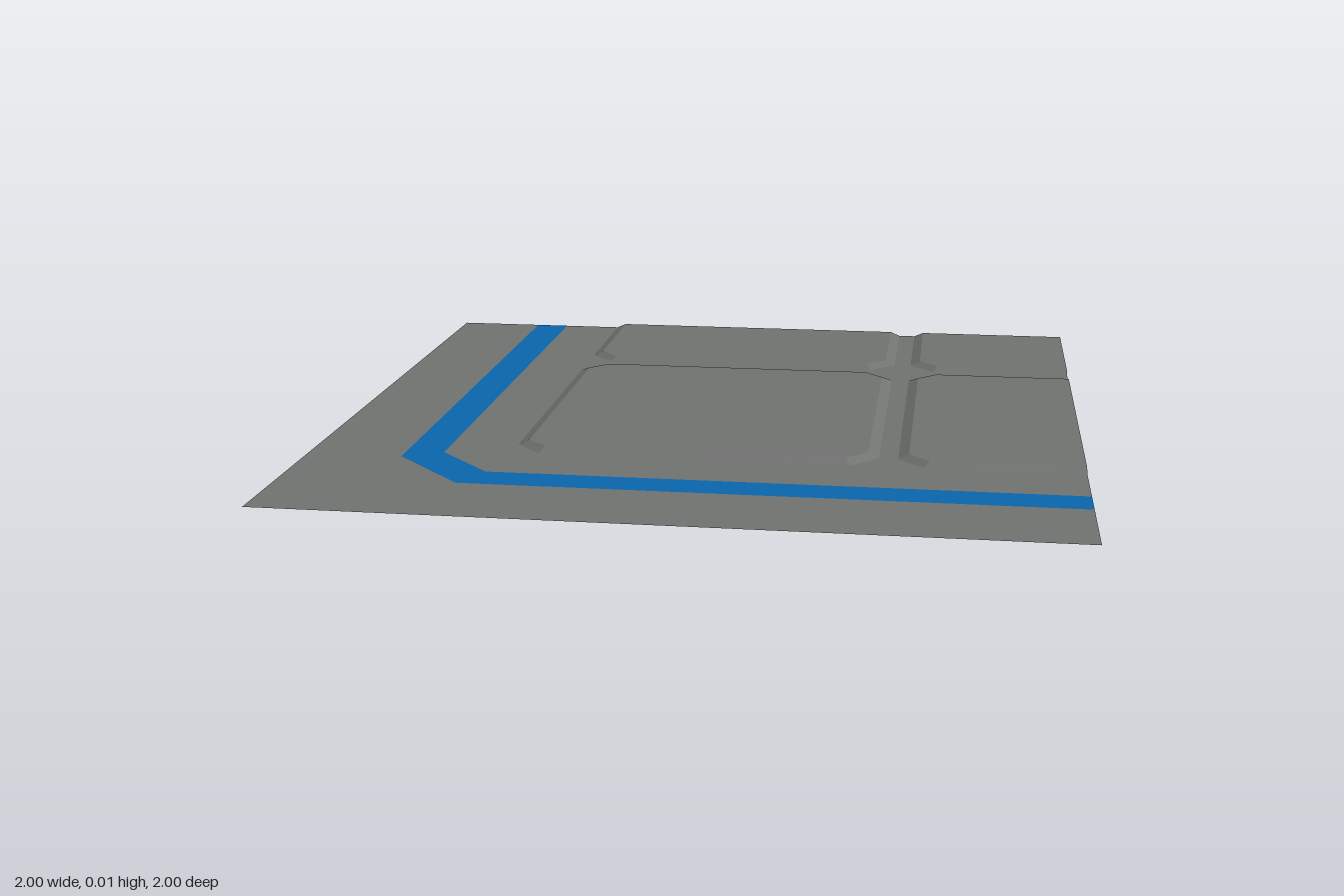
import * as THREE from 'three';

const HALF = 0.475, CUT = 0.07, BEVEL = 0.028, HEIGHT = 0.012;

// Horizontal plate from [x, z] points, facing up
function plate(points, y = 0, holes = []) {
  const toVectors = list => list.map(([x, z]) => new THREE.Vector2(x, -z));
  const shape = new THREE.Shape(toVectors(points));
  for (const hole of holes) shape.holes.push(new THREE.Path(toVectors(hole)));
  return new THREE.ShapeGeometry(shape).rotateX(-Math.PI / 2).translate(0, y, 0);
}

// Visible outline of a cut-cornered panel, clipped at the tile's edges
function outline({ cx, cz, order }, inset = 0) {
  const h = HALF - inset, c = HALF - CUT - inset * (2 - Math.SQRT2);
  const cut = h - (CUT - inset * (2 - Math.SQRT2));
  const k = inset ? cut : c;
  const ring = [[k, h], [-k, h], [-h, k], [-h, -k], [-k, -h], [k, -h], [h, -k], [h, k]];
  return order.map(i => [Math.min(cx + ring[i][0], 1), Math.max(cz + ring[i][1], -1)]);
}

// Sloped strip between the foot and the top of a panel
function bevel(foot, top, closed) {
  const positions = [];
  const count = closed ? foot.length : foot.length - 1;
  for (let i = 0; i < count; i++) {
    const j = (i + 1) % foot.length;
    const a = [foot[i][0], 0, foot[i][1]], b = [foot[j][0], 0, foot[j][1]];
    const c = [top[i][0], HEIGHT, top[i][1]], d = [top[j][0], HEIGHT, top[j][1]];
    positions.push(...a, ...c, ...b, ...b, ...c, ...d);
  }
  const geometry = new THREE.BufferGeometry();
  geometry.setAttribute('position', new THREE.Float32BufferAttribute(positions, 3));
  geometry.computeVertexNormals();
  return geometry;
}

export function createModel() {
  const model = new THREE.Group();
  const grey = new THREE.MeshStandardMaterial({ color: 0x727472, side: THREE.DoubleSide });
  grey.name = 'floor grey';
  const blue = new THREE.MeshStandardMaterial({ color: 0x0b67ae, side: THREE.DoubleSide });
  blue.name = 'stripe blue';
  const add = (name, geometry, material, parent = model) => {
    const mesh = new THREE.Mesh(geometry, material);
    mesh.name = name;
    parent.add(mesh);
  };

  // One whole panel and three cut off by the tile's edges
  const centre = { name: 'centrePanel', cx: 0, cz: 0, order: [0, 1, 2, 3, 4, 5, 6, 7], closed: true };
  const left = { name: 'leftPanel', cx: 1, cz: 0, order: [0, 1, 2, 3, 4, 5] };
  const corner = { name: 'cornerPanel', cx: 1, cz: -1, order: [0, 1, 2, 3], end: [[1, -1]] };
  const back = { name: 'backPanel', cx: 0, cz: -1, order: [6, 7, 0, 1, 2, 3] };

  // Both edges of the stripe, from the back edge round to the left edge
  const outer = [[-0.75, -1], [-0.75, 0.55], [-0.55, 0.75], [1, 0.75]];
  const inner = [[-0.65, -1], [-0.65, 0.5], [-0.5, 0.65], [1, 0.65]];

  // Flat floor and the stripe set into it
  add('outerFloor', plate([...outer, [1, 1], [-1, 1], [-1, -1]]), grey);
  add('stripe', plate([...outer, ...[...inner].reverse()]), blue);
  add('innerFloor', plate(
    [...inner, ...outline(left), ...outline(corner), ...outline(back)], 0, [outline(centre)]), grey);

  // Raised panels with bevelled rims
  for (const panel of [centre, left, corner, back]) {
    const group = new THREE.Group();
    group.name = panel.name;
    const top = outline(panel, BEVEL);
    add('panelTop', plate([...top, ...(panel.end ?? [])], HEIGHT), grey, group);
    add('panelBevel', bevel(outline(panel), top, panel.closed), grey, group);
    model.add(group);
  }
  return model;
}
